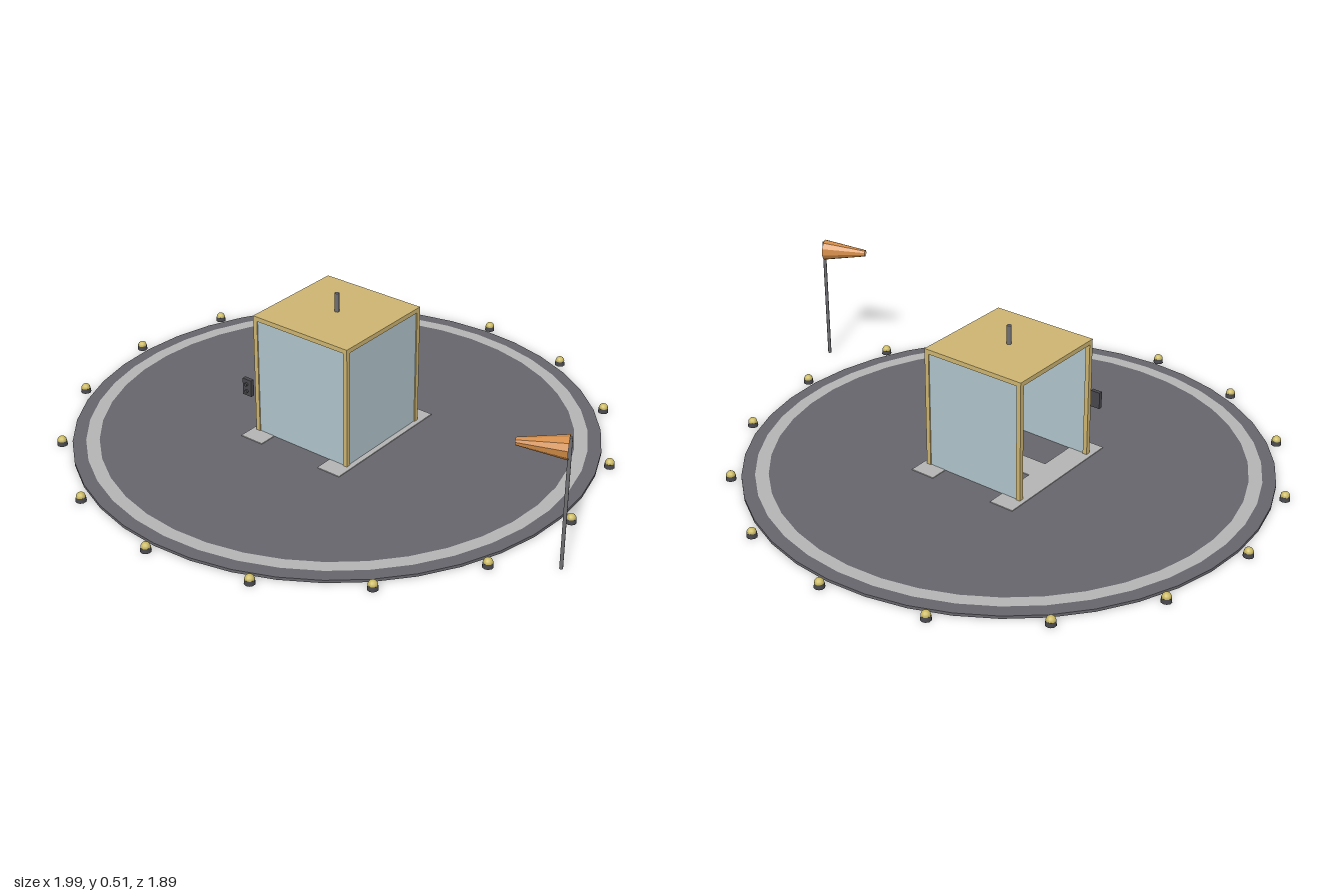
import * as THREE from 'three';

const CX = -0.055; // centre of the pad

function mat(color, flat = false) {
  return new THREE.MeshStandardMaterial({ color, flatShading: flat, side: THREE.DoubleSide });
}

export function createModel() {
  const model = new THREE.Group();
  const dark = mat(0x65656b, true), paint = mat(0xb4b4b4), wood = mat(0xcdb472);
  const glass = mat(0xb0c4cb), metal = mat(0x707074), black = mat(0x48484c);
  const lamp = mat(0xc9b860), cloth = mat(0xd08a45, true);

  function add(parent, name, geometry, material, x = 0, y = 0, z = 0) {
    const mesh = new THREE.Mesh(geometry, material);
    mesh.name = name;
    mesh.position.set(x, y, z);
    parent.add(mesh);
    return mesh;
  }
  const box = (w, h, d) => new THREE.BoxGeometry(w, h, d);

  const pad = new THREE.Group();
  pad.name = 'landingPad';
  pad.position.x = CX;
  model.add(pad);

  // Round deck with a painted border ring
  add(pad, 'deck', new THREE.CylinderGeometry(0.893, 0.893, 0.01, 40), dark, 0, 0.005, 0);
  const ring = new THREE.RingGeometry(0.803, 0.848, 40).rotateX(-Math.PI / 2);
  add(pad, 'borderRing', ring, paint, 0, 0.0115, 0);

  // Painted letter-like marking: two bars and a crossbar
  for (const s of [-1, 1]) add(pad, 'markingBar', box(0.09, 0.003, 0.51), paint, s * 0.165, 0.0115, 0);
  add(pad, 'markingCrossbar', box(0.24, 0.003, 0.09), paint, 0, 0.0115, 0);

  // Edge lights
  for (let i = 0; i < 16; i++) {
    const a = (i / 16) * Math.PI * 2;
    const light = new THREE.Group();
    light.name = 'edgeLight';
    light.position.set(0.927 * Math.cos(a), 0, 0.927 * Math.sin(a));
    pad.add(light);
    add(light, 'lightBase', new THREE.CylinderGeometry(0.016, 0.018, 0.016, 10), black, 0, 0.008, 0);
    add(light, 'lightDome', new THREE.SphereGeometry(0.016, 10, 5, 0, Math.PI * 2, 0, Math.PI / 2), lamp, 0, 0.016, 0);
  }

  // Lift booth, open on its right side
  const booth = new THREE.Group();
  booth.name = 'booth';
  pad.add(booth);
  const H = 0.43, E = 0.195, P = 0.016;
  for (const sx of [-1, 1]) for (const sz of [-1, 1]) {
    add(booth, 'cornerPost', box(P, H, P), wood, sx * (E - P / 2), H / 2, sz * (E - P / 2));
  }
  add(booth, 'roof', box(2 * E, 0.016, 2 * E), wood, 0, 0.436, 0);
  const span = 2 * (E - P), gh = H - 0.012;
  for (const s of [-1, 1]) add(booth, 'glassWall', box(span, gh, 0.008), glass, 0, 0.012 + gh / 2, s * (E - P / 2));
  add(booth, 'glassWall', box(0.008, gh, span), glass, E - P / 2, 0.012 + gh / 2, 0);
  add(booth, 'roofRod', new THREE.CylinderGeometry(0.008, 0.008, 0.07, 8), metal, 0, 0.476, 0);

  // Call panel with two buttons in front of the corner post
  const panel = new THREE.Group();
  panel.name = 'callPanel';
  panel.position.set(-0.187, 0.2, 0.238);
  pad.add(panel);
  add(panel, 'panelPlate', box(0.036, 0.06, 0.014), black);
  for (const s of [-1, 1]) {
    const b = new THREE.CylinderGeometry(0.006, 0.006, 0.008, 8).rotateX(Math.PI / 2);
    add(panel, 'panelButton', b, black, 0, s * 0.013, 0.01);
  }

  // Windsock on its mast
  const sock = new THREE.Group();
  sock.name = 'windsock';
  model.add(sock);
  add(sock, 'mast', new THREE.CylinderGeometry(0.006, 0.006, 0.455, 8), metal, 0.978, 0.2275, 0.228);
  const from = new THREE.Vector3(0.978, 0.423, 0.232), to = new THREE.Vector3(0.838, 0.423, 0.298);
  const dir = to.clone().sub(from);
  const cone = add(sock, 'sock', new THREE.CylinderGeometry(0.012, 0.038, dir.length(), 10, 1, true), cloth);
  cone.position.copy(from).add(to).multiplyScalar(0.5);
  cone.quaternion.setFromUnitVectors(new THREE.Vector3(0, 1, 0), dir.normalize());

  return model;
}
